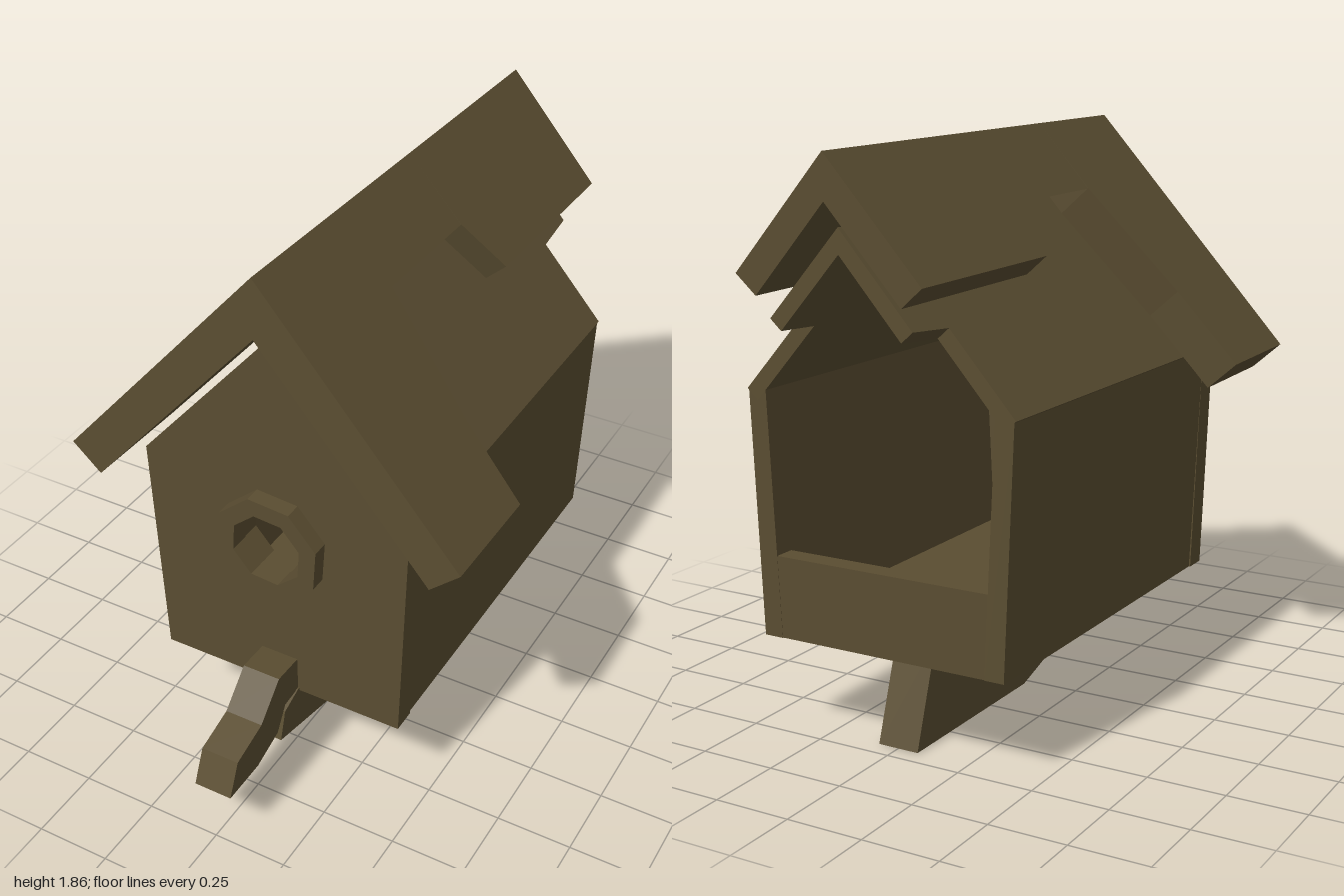
import * as THREE from 'three';

const wood = new THREE.MeshStandardMaterial({ color: 0x5a4d31 });
wood.name = 'weathered wood';

const V = (x, y, z) => new THREE.Vector3(x, y, z);
const shapeOf = (pts) => new THREE.Shape(pts.map(([a, b]) => new THREE.Vector2(a, b)));
const extrude = (shape, depth) =>
  new THREE.ExtrudeGeometry(shape, { depth, bevelEnabled: false, steps: 1 });

// Regular polygon used for the entrance hole and its trim
const ring = (r, n = 8, y = 0.905) => Array.from({ length: n }, (_, i) => {
  const a = ((i + 0.4) / n) * Math.PI * 2;
  return [Math.cos(a) * r, y + Math.sin(a) * r];
});

// Section drawn in (z, y), given a width across x
function crossPiece(pts, width) {
  const g = extrude(shapeOf(pts), width);
  g.applyMatrix4(new THREE.Matrix4().makeBasis(V(0, 0, 1), V(0, 1, 0), V(-1, 0, 0)));
  return g.translate(width / 2, 0, 0);
}

// Sloping board drawn in plan as (x, z), mitred at the ridge
function roofBoard(pts, ridgeY, slope, thickness) {
  const c = 1 / Math.hypot(1, slope), s = slope * c;
  const g = extrude(shapeOf(pts.map(([x, z]) => [x / c, z])), thickness);
  g.applyMatrix4(new THREE.Matrix4().makeBasis(V(c, -s, 0), V(0, 0, 1), V(-s, -c, 0)));
  const p = g.attributes.position;
  for (let i = 0; i < p.count; i++) {
    const x = p.getX(i);
    if (x < 0) p.setXY(i, 0, p.getY(i) + slope * x);
  }
  g.computeVertexNormals();
  return g.translate(0, ridgeY, 0);
}

export function createModel() {
  const model = new THREE.Group();
  model.name = 'birdhouse';

  const add = (name, geometry, parent = model) => {
    const mesh = new THREE.Mesh(geometry, wood);
    mesh.name = name;
    parent.add(mesh);
    return mesh;
  };
  const addPair = (name, geometry, parent = model) => {
    add('left' + name, geometry, parent);
    add('right' + name, geometry, parent).scale.x = -1;
  };

  // Front wall with the entrance hole
  const front = shapeOf([[-0.43, 0.32], [0.43, 0.32], [0.46, 1.1], [0, 1.61], [-0.46, 1.1]]);
  front.holes.push(new THREE.Path(ring(0.128).map(([x, y]) => new THREE.Vector2(x, y))));
  add('frontWall', extrude(front, 0.08).translate(0, 0, 0.51));

  // Raised trim around the hole
  const trim = shapeOf(ring(0.185));
  trim.holes.push(new THREE.Path(ring(0.124).map(([x, y]) => new THREE.Vector2(x, y))));
  add('entranceTrim', extrude(trim, 0.07).translate(0, 0, 0.575));

  // Side walls lean slightly outward; the back stays open above a low board
  const side = shapeOf([[0.36, 0.32], [0.425, 0.32], [0.46, 1.1], [0.4, 1.14]]);
  addPair('SideWall', extrude(side, 1.3).translate(0, 0, -0.78));
  add('floor', new THREE.BoxGeometry(0.82, 0.06, 1.28).translate(0, 0.351, -0.13));
  add('backBoard', new THREE.BoxGeometry(0.85, 0.26, 0.07).translate(0, 0.451, -0.744));

  // Lower roof, stepping in at the back overhang
  addPair('LowerRoof', roofBoard(
    [[0, 0.56], [0.465, 0.56], [0.465, -0.78], [0.25, -0.78], [0.24, -0.95], [0, -0.95]],
    1.62, 1.13, 0.05));

  // Upper roof: broad front, broken middle and narrower back
  const upper = new THREE.Group();
  upper.name = 'upperRoof';
  upper.rotation.x = -0.017;
  upper.position.y = -0.012;
  model.add(upper);
  addPair('FrontRoof', roofBoard(
    [[0, 0.69], [0.67, 0.7], [0.67, 0.31], [0.47, 0.29], [0.18, 0.22], [0, 0.22]],
    1.86, 1.13, 0.13), upper);
  addPair('BackRoof', roofBoard(
    [[0, -0.22], [0.18, -0.23], [0.31, -0.3], [0.31, -0.985], [0, -0.985]],
    1.86, 1.13, 0.09), upper);
  add('ridgeCap', extrude(
    shapeOf([[-0.18, 1.655], [0.18, 1.655], [0, 1.86]]), 0.5).translate(0, 0, -0.25), upper);

  // Perch in front, bent downward
  add('perch', crossPiece([
    [0.57, 0.45], [0.7, 0.455], [0.81, 0.35], [0.95, 0.31], [1, 0.2],
    [0.84, 0.2], [0.72, 0.24], [0.67, 0.32], [0.57, 0.33]], 0.13));

  // Support beam beneath the floor
  add('supportBeam', crossPiece([
    [0.71, 0.2], [0.68, 0.3], [0.6, 0.33], [-0.58, 0.33],
    [-0.69, 0], [-0.03, 0], [0.3, 0.1]], 0.14));

  return model;
}
